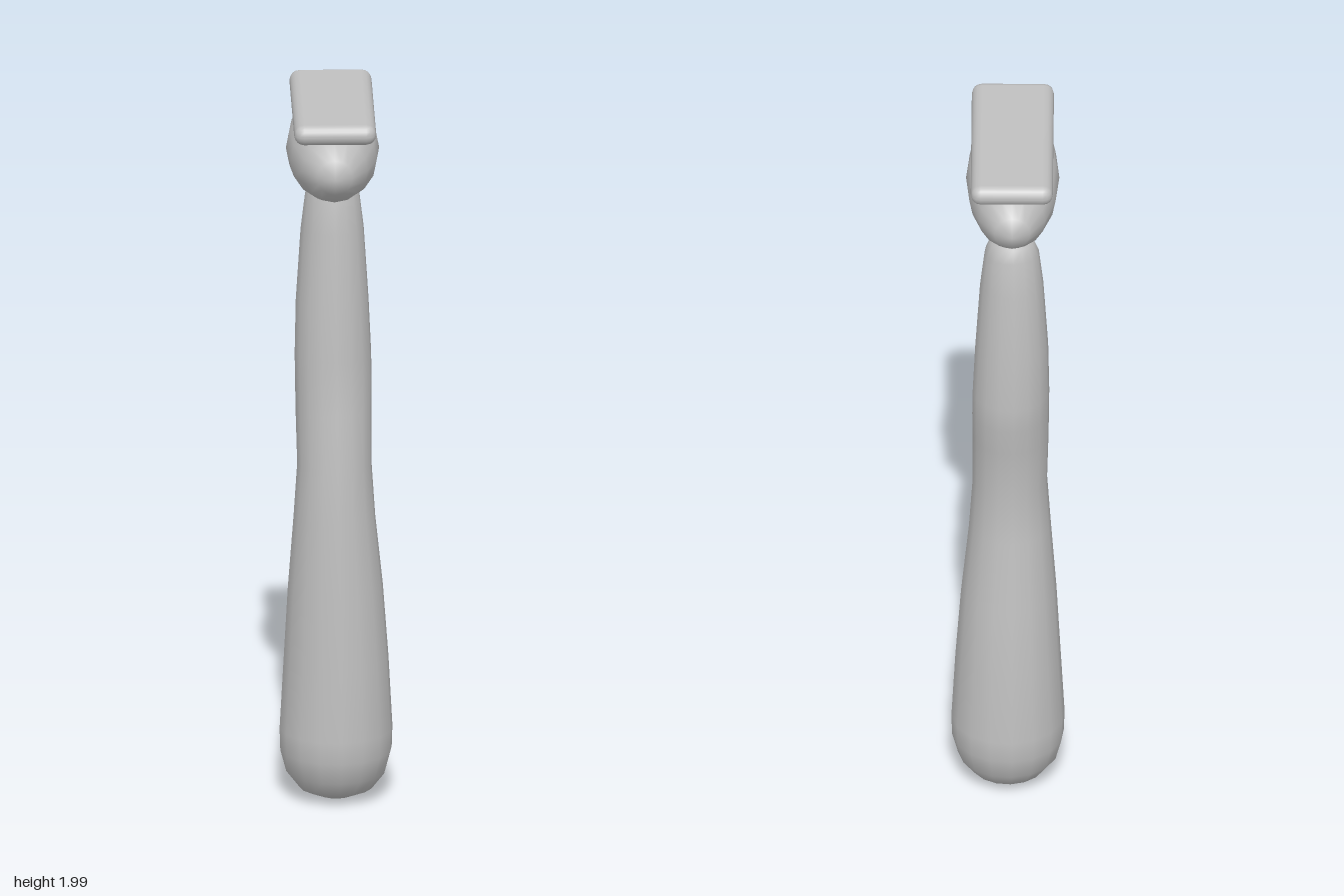
import * as THREE from 'three';
import { mergeVertices } from 'three/addons/utils/BufferGeometryUtils.js';
import { RoundedBoxGeometry } from 'three/addons/geometries/RoundedBoxGeometry.js';

// Handle sections, top to bottom: y, centre x, half width x, centre z, half depth z
const sections = [
  [1.765, -0.01, 0, -0.113, 0],
  [1.757, -0.01, 0.035, -0.113, 0.035],
  [1.735, -0.01, 0.059, -0.113, 0.055],
  [1.70, -0.01, 0.073, -0.113, 0.068],
  [1.60, -0.01, 0.085, -0.116, 0.081],
  [1.40, -0.01, 0.098, -0.116, 0.096],
  [1.25, -0.008, 0.103, -0.114, 0.103],
  [1.18, -0.007, 0.103, -0.111, 0.103],
  [1.10, -0.007, 0.102, -0.1, 0.1],
  [0.95, -0.005, 0.1, -0.084, 0.099],
  [0.80, -0.005, 0.11, -0.083, 0.108],
  [0.60, -0.002, 0.128, -0.092, 0.128],
  [0.40, 0, 0.141, -0.097, 0.141],
  [0.20, 0, 0.152, -0.1, 0.151],
  [0.14, 0, 0.15, -0.1, 0.15],
  [0.08, 0, 0.134, -0.1, 0.134],
  [0.035, 0, 0.099, -0.1, 0.099],
  [0.012, 0, 0.045, -0.1, 0.045],
  [0.007, 0, 0, -0.1, 0],
];

// Closed sixteen-sided tube whose rings follow the sections
function sweptHandle() {
  const rows = sections.length - 1;
  const geo = new THREE.CylinderGeometry(1, 1, rows, 16, rows, true);
  geo.rotateY(0.08);
  const p = geo.attributes.position;
  for (let i = 0; i < p.count; i++) {
    const [y, cx, rx, cz, rz] = sections[Math.round(rows / 2 - p.getY(i))];
    p.setXYZ(i, cx + p.getX(i) * rx, y, cz + p.getZ(i) * rz);
  }
  geo.deleteAttribute('uv');
  geo.deleteAttribute('normal');
  const smooth = mergeVertices(geo, 1e-4);
  smooth.computeVertexNormals();
  return smooth;
}

export function createModel() {
  const model = new THREE.Group();
  model.name = 'razor';
  const grey = new THREE.MeshStandardMaterial({ color: 0xc0c0c0 });
  grey.name = 'grey';

  const add = (name, geometry, x = 0, y = 0, z = 0) => {
    const mesh = new THREE.Mesh(geometry, grey);
    mesh.name = name;
    mesh.position.set(x, y, z);
    model.add(mesh);
  };

  add('handle', sweptHandle());

  // Elongated head with its poles at front and back
  const head = new THREE.SphereGeometry(1, 16, 8);
  head.rotateX(Math.PI / 2);
  head.scale(0.125, 0.125, 0.293);
  add('head', head, -0.012, 1.861, 0);

  // Rounded plate on top of the head
  add('topPlate', new RoundedBoxGeometry(0.22, 0.056, 0.534, 2, 0.027), -0.011, 1.972, -0.005);

  return model;
}
